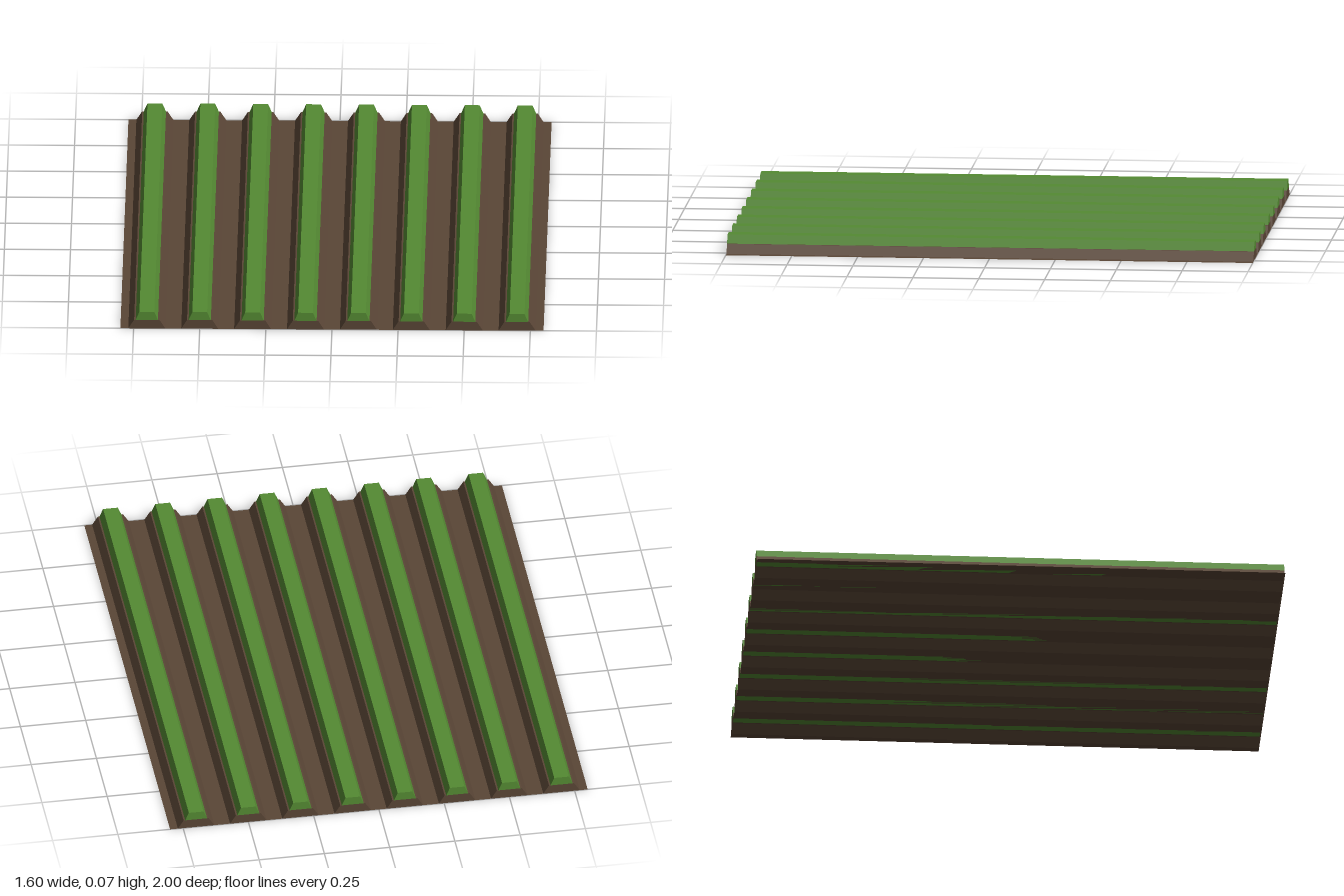
import * as THREE from 'three';

const soil = new THREE.MeshStandardMaterial({ color: 0x5a4636, side: THREE.DoubleSide });
soil.name = 'soil brown';
const leaf = new THREE.MeshStandardMaterial({ color: 0x558b33 });
leaf.name = 'crop green';

const LENGTH = 2, HALF_WIDTH = 0.8, ROWS = 8, SPACING = 0.2;
const rowX = (i) => (i - (ROWS - 1) / 2) * SPACING;

// cross-sections of one row
const ridge = [[-0.07, 0], [-0.048, 0.035], [0.048, 0.035], [0.07, 0]];
const crop = [[-0.042, 0.035], [0.042, 0.035], [0.028, 0.068], [-0.028, 0.068]];
const toShape = (pts) => new THREE.Shape(pts.map(([x, y]) => new THREE.Vector2(x, y)));

// open sheet swept along z, one flat quad per profile segment, facing up
function sheet(profile) {
  const pos = [], h = LENGTH / 2;
  for (let i = 0; i + 1 < profile.length; i++) {
    const [ax, ay] = profile[i], [bx, by] = profile[i + 1];
    pos.push(ax, ay, h, bx, by, h, bx, by, -h);
    pos.push(ax, ay, h, bx, by, -h, ax, ay, -h);
  }
  const g = new THREE.BufferGeometry();
  g.setAttribute('position', new THREE.Float32BufferAttribute(pos, 3));
  g.computeVertexNormals();
  return g;
}

export function createModel() {
  const model = new THREE.Group();
  model.name = 'cropField';
  const add = (geometry, material, name) => {
    const mesh = new THREE.Mesh(geometry, material);
    mesh.name = name;
    model.add(mesh);
    return mesh;
  };

  // ploughed ground: flat furrows and hollow ridges in one folded sheet
  const profile = [[-HALF_WIDTH, 0]];
  for (let i = 0; i < ROWS; i++) ridge.forEach(([x, y]) => profile.push([x + rowX(i), y]));
  profile.push([HALF_WIDTH, 0]);
  add(sheet(profile), soil, 'ploughedGround');

  const capGeometry = new THREE.ShapeGeometry(toShape(ridge));
  const cropGeometry = new THREE.ExtrudeGeometry(toShape(crop), { depth: LENGTH, bevelEnabled: false });
  cropGeometry.translate(0, 0, -LENGTH / 2);

  for (let i = 0; i < ROWS; i++) {
    // green row on top of the ridge
    add(cropGeometry, leaf, 'cropRow').position.x = rowX(i);
    // ridge ends, front and back
    for (const s of [1, -1]) {
      const cap = add(capGeometry, soil, 'ridgeEnd');
      cap.position.set(rowX(i), 0, (s * LENGTH) / 2);
      if (s < 0) cap.rotation.y = Math.PI;
    }
  }
  return model;
}
